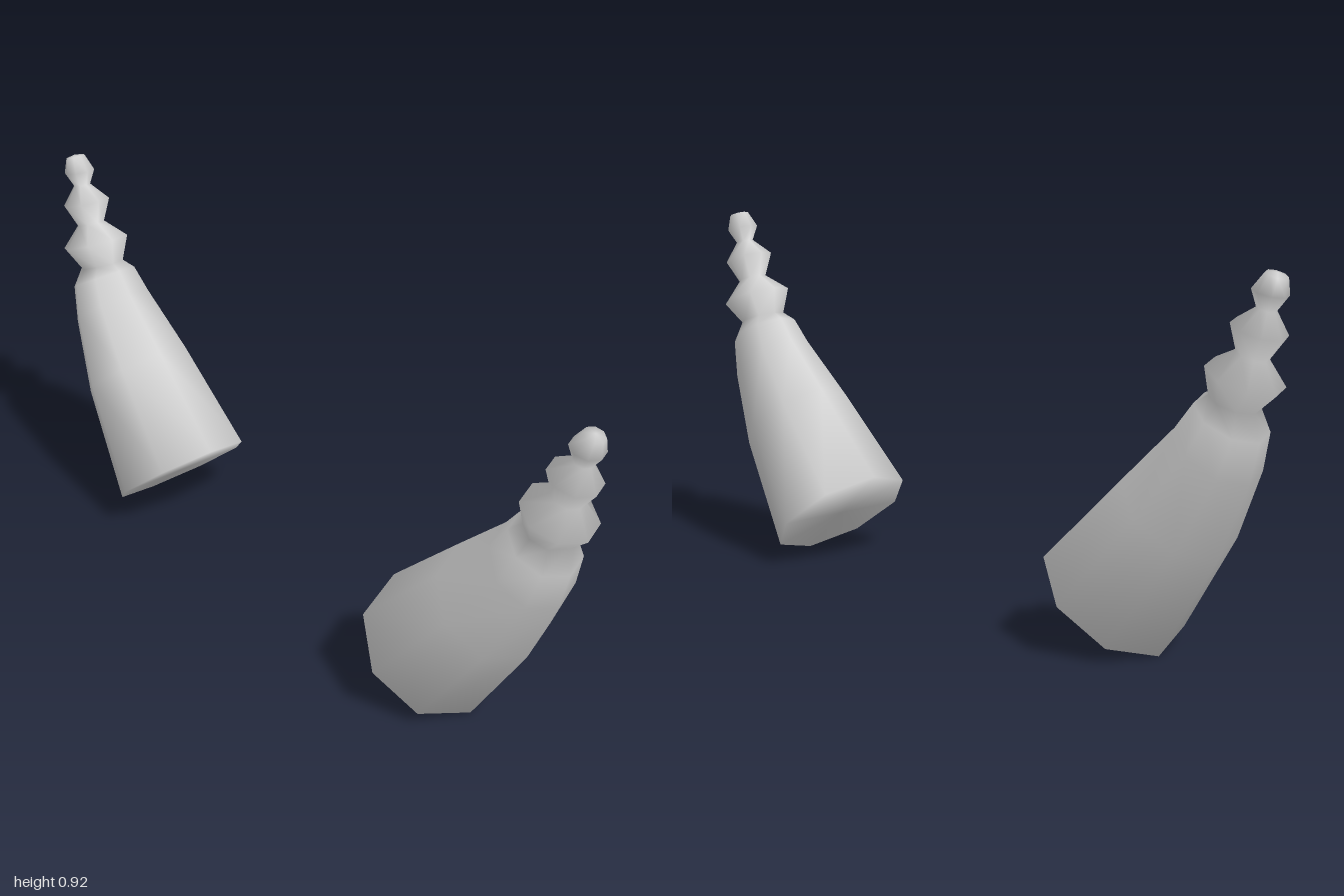
import * as THREE from 'three';

// Cross-sections from root to tip: centre x, centre y, radius, tilt in degrees
const RINGS = [
  [0.518, 0.127, 0.19, 40.7],
  [0.715, 0.362, 0.151, 40],
  [0.826, 0.517, 0.111, 38],
  [0.861, 0.593, 0.091, 30],
  [0.868, 0.63, 0.06, 20],
  [0.895, 0.688, 0.092, 21],
  [0.914, 0.737, 0.038, 20],
  [0.93, 0.795, 0.065, 18],
  [0.948, 0.84, 0.023, 15],
  [0.957, 0.877, 0.042, 14],
  [0.973, 0.915, 0.026, 20],
];
const SIDES = 8;

// Lofts octagonal rings along the bent axis and closes both ends
function hornGeometry(side) {
  const positions = [];
  const indices = [];
  const face = (a, b, c) => indices.push(...(side > 0 ? [a, b, c] : [a, c, b]));

  for (const [cx, cy, r, degrees] of RINGS) {
    const tilt = THREE.MathUtils.degToRad(degrees);
    for (let i = 0; i < SIDES; i++) {
      const a = (i / SIDES) * Math.PI * 2;
      const across = r * Math.cos(a);
      positions.push(
        side * (cx + across * Math.cos(tilt)),
        cy - across * Math.sin(tilt),
        r * Math.sin(a)
      );
    }
  }
  for (let j = 0; j < RINGS.length - 1; j++) {
    for (let i = 0; i < SIDES; i++) {
      const k = (i + 1) % SIDES;
      const a = j * SIDES + i, b = j * SIDES + k;
      face(a, a + SIDES, b);
      face(b, a + SIDES, b + SIDES);
    }
  }

  // End caps share the rim vertices, so the shading rolls over the edge
  const last = RINGS.length - 1;
  const root = RINGS.length * SIDES;
  const tip = root + 1;
  positions.push(side * RINGS[0][0], RINGS[0][1], 0);
  positions.push(side * (RINGS[last][0] + 0.002), RINGS[last][1] + 0.005, 0);
  for (let i = 0; i < SIDES; i++) {
    const k = (i + 1) % SIDES;
    face(root, i, k);
    face(tip, last * SIDES + k, last * SIDES + i);
  }

  const geometry = new THREE.BufferGeometry();
  geometry.setAttribute('position', new THREE.Float32BufferAttribute(positions, 3));
  geometry.setIndex(indices);
  geometry.computeVertexNormals();
  return geometry;
}

export function createModel() {
  const group = new THREE.Group();
  group.name = 'hornPair';
  const material = new THREE.MeshStandardMaterial({ color: 0xcccccc });
  for (const side of [1, -1]) {
    const horn = new THREE.Mesh(hornGeometry(side), material);
    horn.name = side > 0 ? 'leftHorn' : 'rightHorn';
    group.add(horn);
  }
  return group;
}
